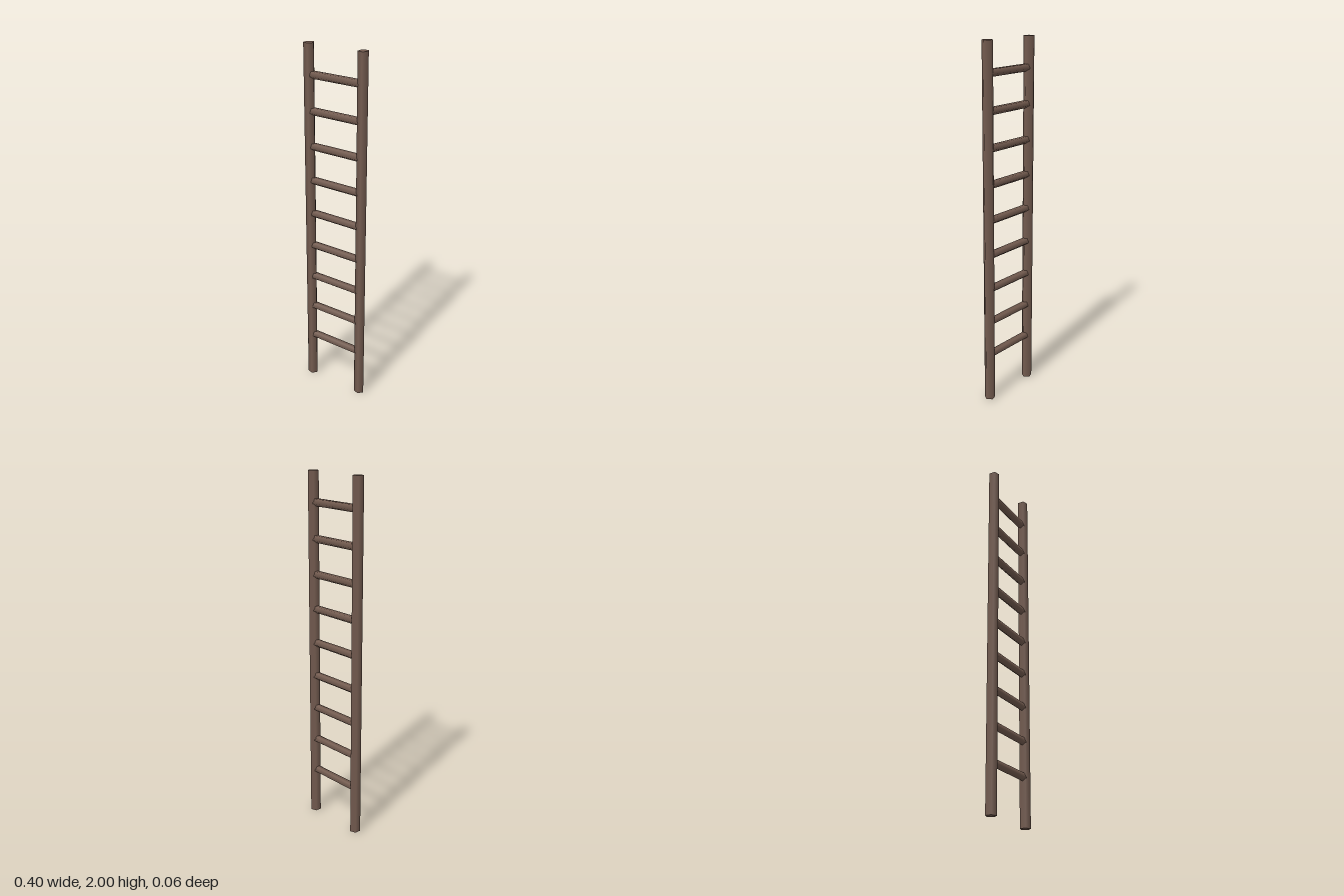
import * as THREE from 'three';

export function createModel() {
  const group = new THREE.Group();
  const wood = new THREE.MeshStandardMaterial({ color: 0x745c50 });
  wood.name = 'brown wood';

  // Five-sided smooth-shaded pole, upright, with one corner towards +x
  const pole = (radius, length) =>
    new THREE.CylinderGeometry(radius, radius, length, 5, 1, false, Math.PI / 2);

  const add = (geometry, name, x, y) => {
    const mesh = new THREE.Mesh(geometry, wood);
    mesh.name = name;
    mesh.position.set(x, y, 0);
    group.add(mesh);
  };

  // Side rails, both turned the same way
  const rail = pole(0.03, 2);
  add(rail, 'rightRail', -0.175, 1);
  add(rail, 'leftRail', 0.169, 1);

  // Nine rungs lying along x, corner down
  const rung = pole(0.0225, 0.33).rotateZ(-Math.PI / 2);
  for (let i = 0; i < 9; i++) add(rung, `rung${i + 1}`, -0.003, 0.269 + i * 0.1957);

  return group;
}
